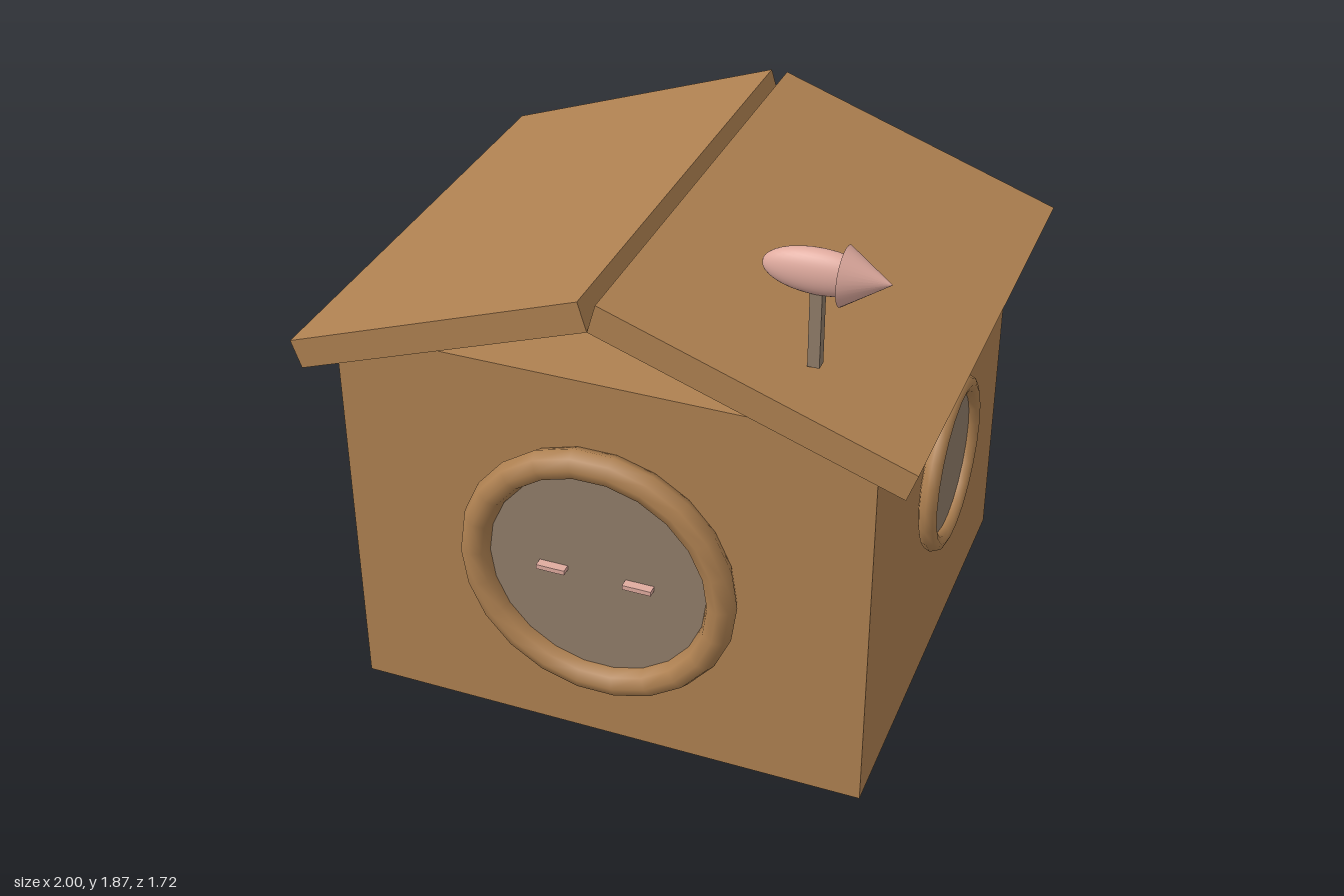
import * as THREE from 'three';

export function createModel() {
  const root = new THREE.Group();
  const wood = new THREE.MeshStandardMaterial({ color: 0xaf8151 });
  const slate = new THREE.MeshStandardMaterial({ color: 0x917d6a });
  const pink = new THREE.MeshStandardMaterial({ color: 0xe0ab9f });
  wood.name = 'wood';
  slate.name = 'slate';
  pink.name = 'pink';

  const add = (parent, name, geometry, material, x = 0, y = 0, z = 0) => {
    const mesh = new THREE.Mesh(geometry, material);
    mesh.name = name;
    mesh.position.set(x, y, z);
    parent.add(mesh);
    return mesh;
  };

  // House body
  add(root, 'houseBody', new THREE.BoxGeometry(1.74, 1.36, 1.575), wood, 0, 0.68, -0.0125);

  // Two sloping roof boards that meet at their lower ridge edges
  for (const side of [-1, 1]) {
    const profile = new THREE.Shape([
      [1.0, 1.322], [0.968, 1.23], [0, 1.572], [0.028, 1.668],
    ].map(([x, y]) => new THREE.Vector2(side * x, y)));
    const board = new THREE.ExtrudeGeometry(profile, { depth: 1.69, bevelEnabled: false });
    add(root, side < 0 ? 'rightRoof' : 'leftRoof', board, wood, 0, 0, -0.86);
  }

  // Round framed opening facing +z, with its back on the wall at local z = 0
  const roundOpening = (name, radius, tube) => {
    const group = new THREE.Group();
    group.name = name;
    add(group, 'frame', new THREE.TorusGeometry(radius, tube, 8, 22), wood, 0, 0, tube * 0.9);
    const panel = new THREE.CylinderGeometry(radius, radius, tube, 32).rotateX(Math.PI / 2);
    add(group, 'panel', panel, slate, 0, 0, tube * 0.4);
    root.add(group);
    return group;
  };

  // Front door with two small handles
  const door = roundOpening('frontDoor', 0.414, 0.05);
  door.position.set(0, 0.68, 0.768);
  for (const side of [-1, 1]) {
    add(door, 'doorHandle', new THREE.BoxGeometry(0.095, 0.016, 0.04), pink, side * 0.145, 0, 0.055);
  }

  // Side windows
  for (const side of [-1, 1]) {
    const window = roundOpening(side < 0 ? 'rightWindow' : 'leftWindow', 0.266, 0.031);
    window.position.set(side * 0.87, 0.787, -0.015);
    window.rotation.y = side * Math.PI / 2;
  }

  // Weather vane: post, flattened body and pointed tip
  const vane = new THREE.Group();
  vane.name = 'weatherVane';
  vane.position.set(0.617, 1.78, 0.603);
  add(vane, 'post', new THREE.BoxGeometry(0.037, 0.28, 0.037), slate, 0, -0.17, 0);
  add(vane, 'vaneBody', new THREE.SphereGeometry(1, 32, 20).scale(0.168, 0.072, 0.048), pink);
  add(vane, 'vaneTip', new THREE.ConeGeometry(0.09, 0.14, 32).rotateZ(-Math.PI / 2), pink, 0.147, 0, 0);
  root.add(vane);

  return root;
}
